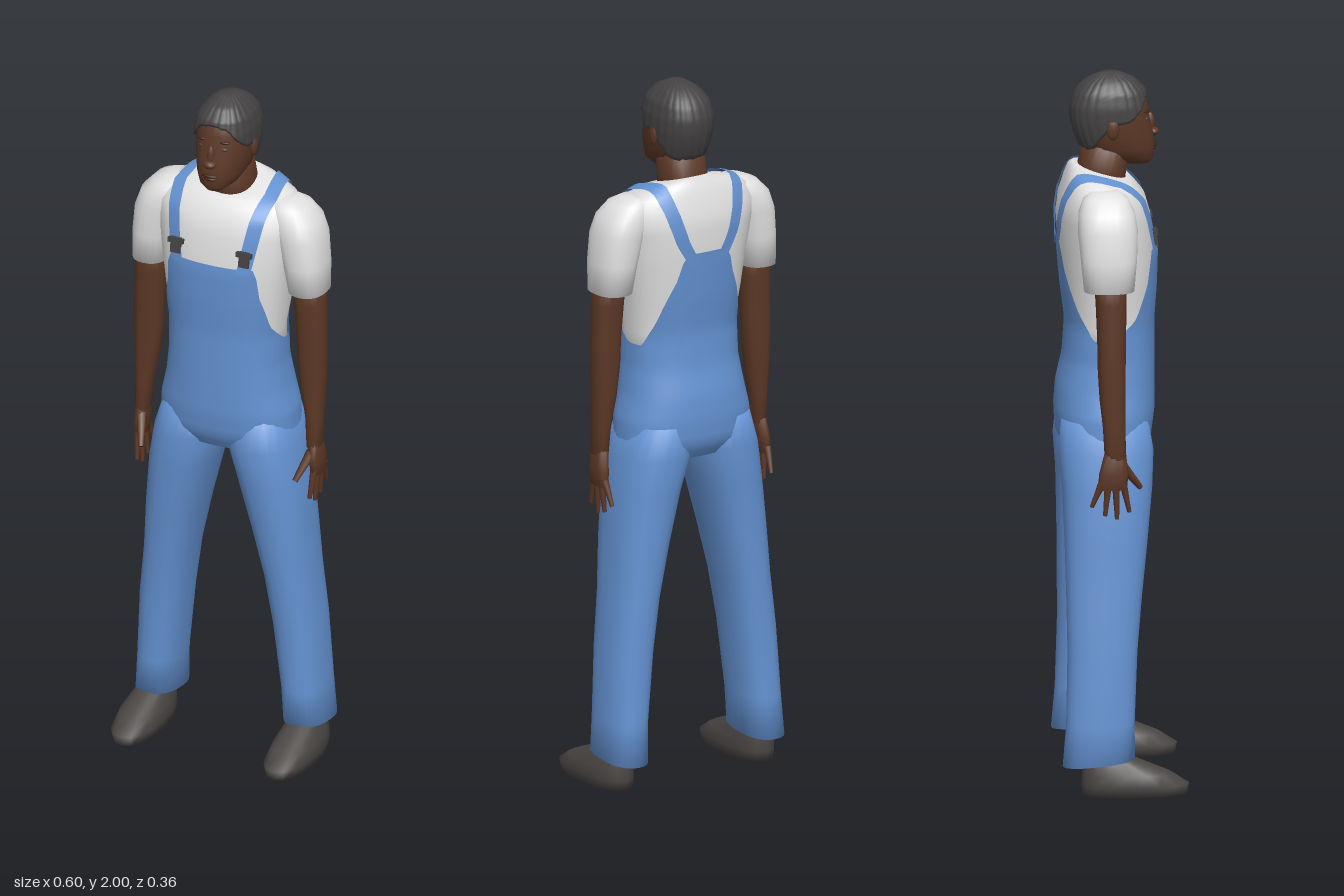
import * as THREE from 'three';

const mat = (name, color, side = THREE.FrontSide) => {
  const m = new THREE.MeshStandardMaterial({ color, side });
  m.name = name;
  return m;
};

// Linear lookup in a list of rows whose first entry is the key
function sample(rows, k) {
  if (k <= rows[0][0]) return rows[0];
  for (let i = 1; i < rows.length; i++) {
    const a = rows[i - 1], b = rows[i];
    if (k <= b[0]) return b.map((v, j) => THREE.MathUtils.lerp(a[j] || 0, v, (k - a[0]) / (b[0] - a[0])));
  }
  return rows[rows.length - 1];
}

// Loft through rings [y, cx, cz, rx, rz, tilt]; lower and upper edges may vary with the angle
function loft(rings, { n = 24, m = 0, low, high, grow = 0, ripple = 0, s = 1, cap = true } = {}) {
  const pos = [], idx = [];
  const rows = m || rings.length - 1;
  const round = v => Math.sign(v) * Math.abs(v) ** 0.85;
  for (let j = 0; j <= rows; j++) {
    for (let i = 0; i < n; i++) {
      const t = (i / n) * Math.PI * 2, fold = Math.min(t, Math.PI * 2 - t);
      const y0 = low ? low(fold) : rings[0][0];
      const y1 = high ? high(fold) : rings[rings.length - 1][0];
      const y = m ? y0 + (y1 - y0) * j / m : rings[j][0];
      const [, cx, cz, rx, rz, tilt = 0] = sample(rings, y);
      const g = grow + ripple * Math.cos(t * n / 3);
      const dz = round(Math.cos(t)) * (rz + g);
      pos.push(s * cx + round(Math.sin(t)) * (rx + g), y + tilt * dz, cz + dz);
    }
  }
  for (let j = 0; j < rows; j++) for (let i = 0; i < n; i++) {
    const a = j * n + i, b = j * n + (i + 1) % n;
    idx.push(a, b, b + n, a, b + n, a + n);
  }
  if (cap) for (const j of [0, rows]) {
    const c = [0, 0, 0];
    for (let i = 0; i < n; i++) for (let k = 0; k < 3; k++) c[k] += pos[(j * n + i) * 3 + k] / n;
    const id = pos.length / 3;
    pos.push(...c);
    for (let i = 0; i < n; i++) {
      const a = j * n + i, b = j * n + (i + 1) % n;
      j ? idx.push(a, b, id) : idx.push(b, a, id);
    }
  }
  const geo = new THREE.BufferGeometry();
  geo.setAttribute('position', new THREE.Float32BufferAttribute(pos, 3));
  geo.setIndex(idx);
  geo.computeVertexNormals();
  return geo;
}

export function createModel() {
  const root = new THREE.Group();
  const denim = mat('blue denim', 0x6492d2, THREE.DoubleSide);
  const cotton = mat('white cotton', 0xe2e2e2);
  const skin = mat('brown skin', 0x5c3826);
  const lipColor = mat('dark brown', 0x40231a);
  const dark = mat('dark hair', 0x444242);
  const leather = mat('shoe leather', 0x4a4644);

  const add = (name, geo, m, p = [0, 0, 0], scale = [1, 1, 1]) => {
    const mesh = new THREE.Mesh(geo, m);
    mesh.name = name;
    mesh.position.set(...p);
    mesh.scale.set(...scale);
    root.add(mesh);
    return mesh;
  };
  const rod = (name, a, b, ra, rb) => {
    const A = new THREE.Vector3(...a), d = new THREE.Vector3(...b).sub(A);
    const mesh = add(name, new THREE.CylinderGeometry(rb, ra, d.length(), 7), skin);
    mesh.position.copy(A).addScaledVector(d, 0.5);
    mesh.quaternion.setFromUnitVectors(new THREE.Vector3(0, 1, 0), d.normalize());
  };

  // Body shape shared by the shirt and the overalls
  const body = [
    [0.94, 0, -0.04, 0.17, 0.10], [0.98, 0, -0.042, 0.195, 0.126], [1.05, 0, -0.04, 0.192, 0.133],
    [1.12, 0, -0.037, 0.175, 0.131], [1.2, 0, -0.028, 0.164, 0.122], [1.3, 0, -0.025, 0.163, 0.118],
    [1.4, 0, -0.028, 0.18, 0.128], [1.5, 0, -0.031, 0.193, 0.134], [1.6, 0, -0.042, 0.21, 0.13],
    [1.65, 0, -0.046, 0.215, 0.12], [1.69, 0, -0.05, 0.19, 0.1, -0.1],
    [1.715, 0, -0.052, 0.135, 0.088, -0.2], [1.725, 0, -0.052, 0.078, 0.075, -0.3],
  ];
  const solids = [add('shirt', loft(body.slice(4), { n: 40 }), cotton)];

  // Overalls with bib, armhole scoops and narrow back panel
  const bibEdge = [[0, 1.52], [0.66, 1.52], [0.78, 1.43], [1.1, 1.33], [1.6, 1.27], [1.95, 1.27],
    [2.3, 1.34], [2.7, 1.46], [2.85, 1.54], [3.15, 1.54]];
  add('overalls', loft(body, { n: 72, m: 26, high: t => sample(bibEdge, t)[1], grow: 0.006, cap: false }), denim);

  for (const s of [1, -1]) {
    const side = s > 0 ? 'left' : 'right';
    solids.push(add(side + 'Sleeve', loft([
      [1.435, 0.24, -0.042, 0.053, 0.07], [1.52, 0.232, -0.042, 0.06, 0.078], [1.6, 0.218, -0.044, 0.067, 0.083],
      [1.65, 0.2, -0.046, 0.068, 0.078], [1.685, 0.18, -0.048, 0.055, 0.062], [1.7, 0.165, -0.05, 0.035, 0.04],
    ], { s }), cotton));
    add(side + 'Arm', loft([
      [0.96, 0.264, -0.026, 0.02, 0.03], [1.05, 0.262, -0.03, 0.025, 0.031], [1.13, 0.256, -0.034, 0.034, 0.036],
      [1.22, 0.252, -0.036, 0.041, 0.039], [1.3, 0.25, -0.036, 0.042, 0.04], [1.4, 0.245, -0.037, 0.045, 0.043],
      [1.48, 0.24, -0.04, 0.045, 0.045],
    ], { s, n: 16 }), skin);

    // Hand with spread fingers
    add(side + 'Palm', loft([
      [0.875, 0.272, -0.036, 0.013, 0.04], [0.92, 0.27, -0.031, 0.017, 0.041], [0.98, 0.264, -0.027, 0.019, 0.029],
    ], { s, n: 12 }), skin);
    [[-0.006, 0.012, 0.81], [-0.026, -0.022, 0.79], [-0.046, -0.055, 0.8], [-0.064, -0.092, 0.825]].forEach(
      ([z0, z1, y]) => rod(side + 'Finger', [s * 0.272, 0.895, z0], [s * 0.266, y, z1], 0.011, 0.006));
    rod(side + 'Thumb', [s * 0.262, 0.945, -0.01], [s * 0.237, 0.872, 0.045], 0.015, 0.008);

    // Trouser leg and shoe
    add(side + 'Leg', loft([
      [0.09, 0.228, -0.07, 0.062, 0.1, 0.1], [0.2, 0.222, -0.065, 0.062, 0.095], [0.4, 0.205, -0.058, 0.068, 0.097],
      [0.55, 0.185, -0.052, 0.07, 0.105], [0.7, 0.162, -0.045, 0.082, 0.115], [0.85, 0.135, -0.04, 0.095, 0.125],
      [0.95, 0.112, -0.042, 0.102, 0.132], [1.04, 0.1, -0.045, 0.088, 0.12],
    ], { s }), denim);
    add(side + 'Shoe', loft([
      [0, 0.235, 0.03, 0.058, 0.145], [0.03, 0.235, 0.03, 0.064, 0.15], [0.06, 0.235, 0.008, 0.06, 0.125],
      [0.1, 0.232, -0.04, 0.045, 0.075], [0.13, 0.23, -0.055, 0.035, 0.05],
    ], { s, n: 16 }), leather);
  }

  // Straps laid over the shoulders: cast inward at angle a, front 0 to back PI
  const onBody = (x, a, lift) => {
    const dir = new THREE.Vector3(0, Math.sin(a), Math.cos(a));
    const base = new THREE.Vector3(x, 1.5, -0.04);
    const ray = new THREE.Raycaster(base.clone().addScaledVector(dir, 0.6), dir.clone().negate());
    const hit = ray.intersectObjects(solids)[0];
    return (hit ? hit.point : base.addScaledVector(dir, 0.14)).addScaledVector(dir, lift);
  };
  const strapX = [[0, 0.1], [0.6, 0.115], [1.4, 0.138], [2, 0.122], [2.6, 0.082], [3.15, 0.035]];
  for (const s of [1, -1]) {
    const pos = [], idx = [], steps = 36;
    for (let i = 0; i <= steps; i++) {
      const a = 0.05 + (i / steps) * (Math.PI - 0.1), x = sample(strapX, a)[1];
      for (const e of [-0.019, 0, 0.019]) pos.push(...onBody(s * x + e, a, 0.009).toArray());
      if (i) for (const k of [0, 1]) {
        const p = (i - 1) * 3 + k;
        idx.push(p, p + 1, p + 4, p, p + 4, p + 3);
      }
    }
    const geo = new THREE.BufferGeometry();
    geo.setAttribute('position', new THREE.Float32BufferAttribute(pos, 3));
    geo.setIndex(idx);
    geo.computeVertexNormals();
    add(s > 0 ? 'leftStrap' : 'rightStrap', geo, denim);
    const p = onBody(s * 0.105, 0.38, 0.014);
    add('buckle', new THREE.BoxGeometry(0.03, 0.045, 0.009), dark, p.toArray()).rotation.x = -0.15;
    add('buckleBar', new THREE.BoxGeometry(0.046, 0.014, 0.012), dark, [p.x, p.y + 0.014, p.z]).rotation.x = -0.15;
  }

  // Neck and head
  add('neck', loft([
    [1.68, 0, -0.052, 0.074, 0.072, -0.3], [1.73, 0, -0.045, 0.066, 0.066, -0.3], [1.81, 0, -0.03, 0.062, 0.066],
  ]), skin);
  const head = [
    [1.742, 0, 0.052, 0.025, 0.035], [1.76, 0, 0.032, 0.05, 0.066], [1.79, 0, 0, 0.066, 0.1],
    [1.83, 0, -0.01, 0.074, 0.107], [1.87, 0, -0.02, 0.078, 0.107], [1.91, 0, -0.023, 0.078, 0.105],
    [1.95, 0, -0.022, 0.069, 0.091], [1.98, 0, -0.022, 0.045, 0.062], [2, 0, -0.022, 0.012, 0.016],
  ];
  add('head', loft(head.slice(0, 8), { n: 32 }), skin);

  // Hair in ridges, with a hairline that drops from forehead to nape
  const hairline = [[0, 1.94], [0.5, 1.93], [0.8, 1.9], [1.2, 1.87], [1.5, 1.865], [1.75, 1.84], [2.2, 1.795], [3.15, 1.778]];
  add('hair', loft(head, { n: 72, m: 16, low: t => sample(hairline, t)[1], grow: 0.006, ripple: 0.002 }), dark);

  // Face
  const ball = new THREE.SphereGeometry(1, 12, 8);
  add('noseBridge', ball, skin, [0, 1.85, 0.088], [0.01, 0.032, 0.014]);
  add('noseTip', ball, skin, [0, 1.828, 0.098], [0.019, 0.012, 0.016]);
  add('upperLip', ball, lipColor, [0, 1.793, 0.096], [0.025, 0.006, 0.011]);
  add('lowerLip', ball, lipColor, [0, 1.783, 0.094], [0.021, 0.006, 0.011]);
  for (const s of [1, -1]) {
    add('eye', ball, dark, [s * 0.031, 1.872, 0.076], [0.013, 0.006, 0.006]);
    add('brow', ball, lipColor, [s * 0.032, 1.893, 0.074], [0.018, 0.005, 0.008]);
    add('ear', ball, skin, [s * 0.08, 1.852, -0.02], [0.009, 0.03, 0.018]);
  }
  return root;
}
